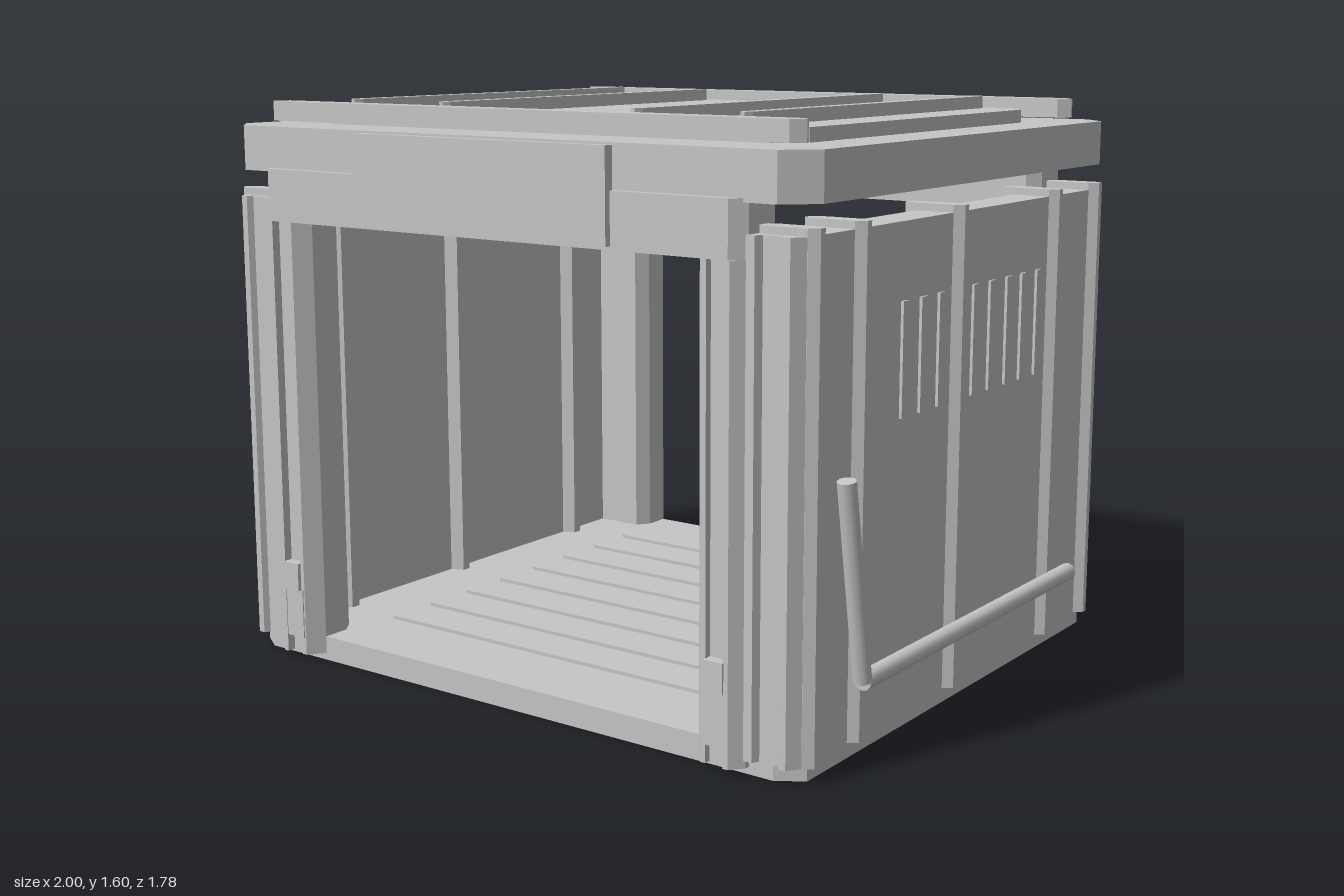
import * as THREE from 'three';

const CX = -0.025; // centre line of the shelter body

export function createModel() {
  const model = new THREE.Group();
  model.name = 'shelter';
  const grey = new THREE.MeshStandardMaterial({ color: 0xc6c6c6 });
  grey.name = 'plain grey';

  const add = (name, geometry) => {
    const mesh = new THREE.Mesh(geometry, grey);
    mesh.name = name;
    model.add(mesh);
    return mesh;
  };

  // upright prism from a plan outline of [x, z] points, x measured from the centre line
  const prism = (name, points, y0, y1, sx = 1, sz = 1) => {
    const shape = new THREE.Shape(points.map(([x, z]) => new THREE.Vector2(sx * x + CX, -sz * z)));
    const geometry = new THREE.ExtrudeGeometry(shape, { depth: y1 - y0, bevelEnabled: false });
    geometry.rotateX(-Math.PI / 2);
    geometry.translate(0, y0, 0);
    return add(name, geometry);
  };

  // rectangle in plan with cut corners
  const cutRect = (x0, x1, z0, z1, cx, cz = cx) => [
    [x0 + cx, z0], [x1 - cx, z0], [x1, z0 + cz], [x1, z1 - cz],
    [x1 - cx, z1], [x0 + cx, z1], [x0, z1 - cz], [x0, z0 + cz],
  ];

  const box = (name, x0, x1, y0, y1, z0, z1) => {
    const geometry = new THREE.BoxGeometry(x1 - x0, y1 - y0, z1 - z0);
    geometry.translate((x0 + x1) / 2 + CX, (y0 + y1) / 2, (z0 + z1) / 2);
    return add(name, geometry);
  };

  // floor slab and its cross ribs
  prism('floor', cutRect(-0.95, 0.95, -0.82, 0.82, 0.07, 0.045), 0, 0.07);
  for (let i = 0; i < 8; i++) {
    const z = -0.56 + i * 0.16;
    prism('floorRib', cutRect(-0.64, 0.64, z - 0.025, z + 0.025, 0.02), 0.07, 0.08);
  }

  // roof slab, raised panel, ribs and end rails
  prism('roof', cutRect(-0.972, 0.972, -0.845, 0.845, 0.078), 1.405, 1.53);
  prism('roofPanel', cutRect(-0.815, 0.815, -0.63, 0.65, 0.07), 1.53, 1.567);
  for (const x of [-0.665, -0.33, 0.325, 0.66]) {
    prism('roofRib', cutRect(x - 0.018, x + 0.018, -0.605, 0.642, 0.012, 0.02), 1.567, 1.602);
  }
  for (const z of [-0.722, 0.722]) {
    prism('roofRail', cutRect(-0.898, 0.898, z - 0.033, z + 0.033, 0.03), 1.54, 1.595);
  }

  // side walls with through ribs and vent strips
  const ribProfile = (z) => [
    [0.80, z - 0.014], [0.84, z - 0.028], [0.95, z - 0.028], [0.975, z - 0.010],
    [0.975, z + 0.010], [0.95, z + 0.028], [0.84, z + 0.028], [0.80, z + 0.014],
  ];
  const vents = [0.345, 0.25, 0.155, -0.035, -0.13, -0.23, -0.32, -0.415];
  for (const s of [-1, 1]) {
    prism('wall', [[0.84, -0.76], [0.95, -0.76], [0.95, 0.76], [0.84, 0.76]], 0.02, 1.33, s);
    for (const z of [-0.773, -0.505, 0.065, 0.562, 0.773]) {
      prism('wallRib', ribProfile(z), 0.04, 1.35, s);
    }
    for (const z of vents) {
      prism('vent', [[0.945, z - 0.014], [0.958, z - 0.014], [0.958, z + 0.014], [0.945, z + 0.014]], 0.83, 1.13, s);
    }
  }

  // corner columns and door posts, repeated at the four corners
  const corner = [
    [0.80, 0.70], [0.95, 0.70], [0.95, 0.80], [0.925, 0.835], [0.905, 0.835],
    [0.895, 0.82], [0.84, 0.82], [0.83, 0.84], [0.80, 0.84],
  ];
  const post = [
    [0.81, 0.70], [0.81, 0.835], [0.78, 0.87], [0.765, 0.87], [0.765, 0.845], [0.71, 0.845],
    [0.71, 0.865], [0.695, 0.865], [0.66, 0.82], [0.66, 0.74], [0.69, 0.70],
  ];
  for (const sx of [-1, 1]) {
    for (const sz of [-1, 1]) {
      prism('cornerColumn', corner, 0.04, 1.33, sx, sz);
      prism('doorPost', post, 0.02, 1.27, sx, sz);
      prism('hingeBase', [[0.70, 0.80], [0.775, 0.80], [0.775, 0.868], [0.70, 0.868]], 0.07, 0.21, sx, sz);
      prism('hingeBlock', [[0.708, 0.80], [0.767, 0.80], [0.767, 0.875], [0.708, 0.875]], 0.21, 0.29, sx, sz);
    }
  }

  // lintels and sign boards at both ends
  for (const s of [-1, 1]) {
    prism('lintel', cutRect(-0.81, 0.81, 0.69, 0.87, 0.035), 1.27, 1.415, 1, s);
    prism('signBoard', [[-0.432, 0.86], [0.428, 0.86], [0.428, 0.888], [-0.432, 0.888]], 1.28, 1.525, 1, s);
  }

  // bent bar on the left wall
  const bar = (name, a, b) => {
    const from = new THREE.Vector3(...a), to = new THREE.Vector3(...b);
    const dir = to.clone().sub(from);
    const geometry = new THREE.CylinderGeometry(0.025, 0.025, dir.length(), 10);
    const mesh = add(name, geometry);
    mesh.position.copy(from).add(to).multiplyScalar(0.5);
    mesh.quaternion.setFromUnitVectors(new THREE.Vector3(0, 1, 0), dir.normalize());
  };
  bar('lowerBar', [0.973, 0.215, -0.59], [0.973, 0.215, 0.6]);
  bar('slopedBar', [0.973, 0.215, 0.6], [0.973, 0.74, 0.69]);

  return model;
}
